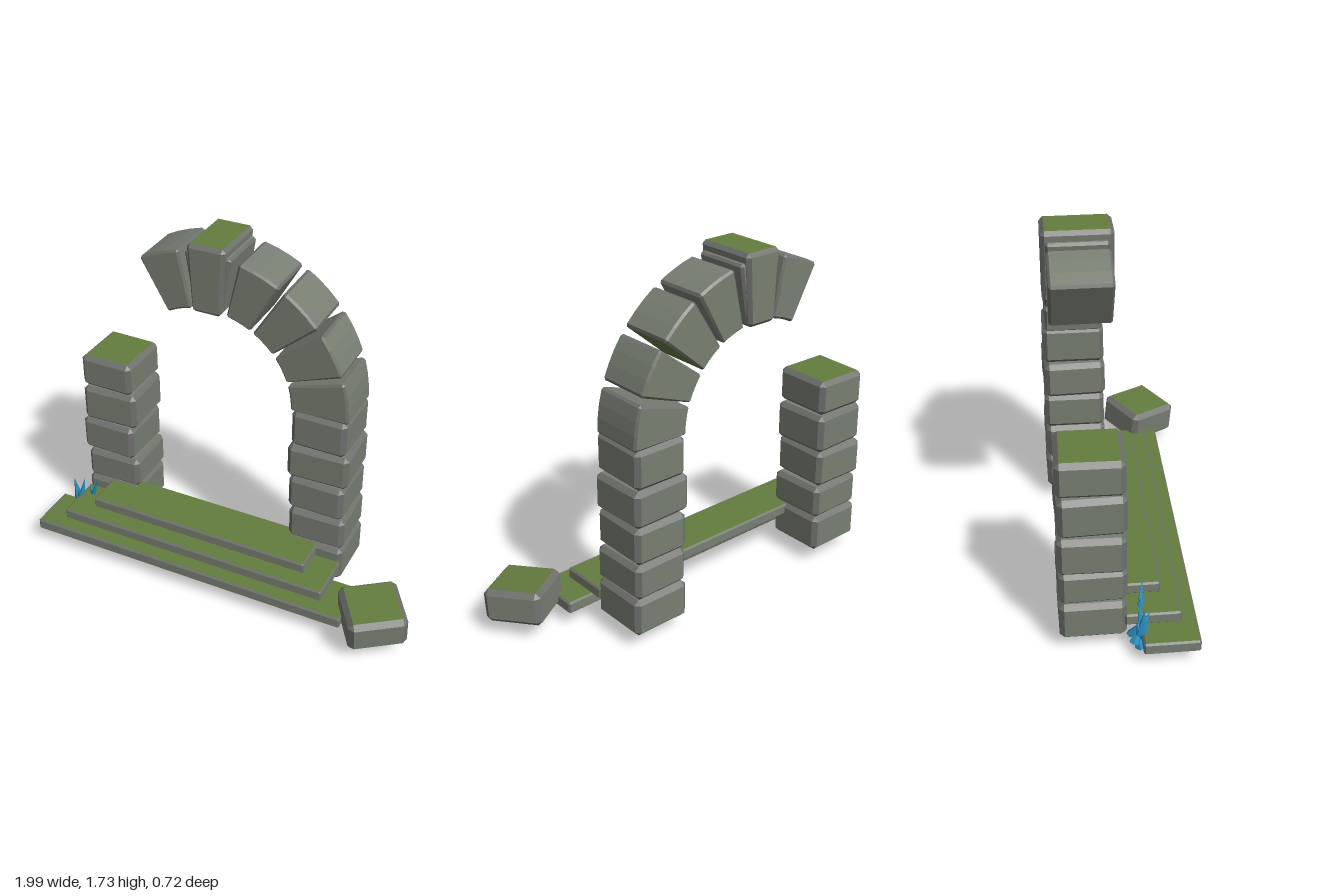
import * as THREE from 'three';

const mat = (name, color, extra = {}) => Object.assign(new THREE.MeshStandardMaterial({ color, ...extra }), { name });

// Chamfered block. Faces listed in mossFaces ('+y', '-x', ...) get the moss colour.
// split subdivides every quad so that warp can bend the block.
function blockGeometry(size, bevel, mossFaces = [], split = 1, warp = null) {
  const half = size.map((s) => s / 2);
  const lists = [[], [], []]; // stone, edge, moss triangles
  // corner point lying on the face of the given axis
  const point = (signs, axis) =>
    new THREE.Vector3(...signs.map((s, i) => s * (half[i] - (i === axis ? 0 : bevel))));
  const triangle = (slot, a, b, c) => {
    const normal = b.clone().sub(a).cross(c.clone().sub(a));
    const outward = normal.dot(a.clone().add(b).add(c)) > 0;
    for (const p of outward ? [a, b, c] : [a, c, b]) {
      const q = warp ? warp(p) : p;
      lists[slot].push(q.x, q.y, q.z);
    }
  };
  const quad = (slot, a, b, c, d) => {
    const at = (u, v) => a.clone().lerp(b, u).lerp(d.clone().lerp(c, u), v);
    for (let i = 0; i < split; i++) {
      for (let j = 0; j < split; j++) {
        const [u, v, U, V] = [i, j, i + 1, j + 1].map((k) => k / split);
        triangle(slot, at(u, v), at(U, v), at(U, V));
        triangle(slot, at(u, v), at(U, V), at(u, V));
      }
    }
  };
  for (let a = 0; a < 3; a++) {
    const b = (a + 1) % 3, c = (a + 2) % 3;
    const signs = (sa, sb, sc) => {
      const s = [];
      s[a] = sa; s[b] = sb; s[c] = sc;
      return s;
    };
    for (const s of [-1, 1]) {
      const slot = mossFaces.includes((s > 0 ? '+' : '-') + 'xyz'[a]) ? 2 : 0;
      quad(slot, ...[[-1, -1], [1, -1], [1, 1], [-1, 1]].map(([p, q]) => point(signs(s, p, q), a)));
      for (const t of [-1, 1]) {
        quad(1, point(signs(-1, s, t), b), point(signs(1, s, t), b),
          point(signs(1, s, t), c), point(signs(-1, s, t), c));
        if (a === 0) {
          for (const r of [-1, 1]) triangle(1, ...[0, 1, 2].map((k) => point([r, s, t], k)));
        }
      }
    }
  }
  const geometry = new THREE.BufferGeometry();
  geometry.setAttribute('position', new THREE.Float32BufferAttribute(lists.flat(), 3));
  let start = 0;
  lists.forEach((list, i) => {
    if (list.length) geometry.addGroup(start, list.length / 3, i);
    start += list.length / 3;
  });
  geometry.computeVertexNormals();
  return geometry;
}

export function createModel() {
  const model = new THREE.Group();
  model.name = 'ruinedArch';
  const stone = mat('stone', 0x787e72);
  const edge = mat('stoneEdge', 0x6e706c);
  const moss = mat('moss', 0x637c3e);
  const crystal = mat('crystal', 0x2a94c6, { flatShading: true });
  const surfaces = [stone, edge, moss];

  const add = (name, geometry, x = 0, y = 0, z = 0) => {
    const mesh = new THREE.Mesh(geometry, surfaces);
    mesh.name = name;
    mesh.position.set(x, y, z);
    model.add(mesh);
    return mesh;
  };
  // block given by its limits
  const span = (name, x0, x1, y0, y1, z0, z1, bevel, mossFaces) =>
    add(name, blockGeometry([x1 - x0, y1 - y0, z1 - z0], bevel, mossFaces),
      (x0 + x1) / 2, (y0 + y1) / 2, (z0 + z1) / 2);

  // Three steps
  span('lowerStep', -1, 0.675, 0.08, 0.14, 0, 0.25, 0.008, ['+y']);
  span('middleStep', -0.875, 0.55, 0.142, 0.2, -0.07, 0.18, 0.008, ['+y']);
  span('upperStep', -0.745, 0.425, 0.205, 0.262, -0.14, 0.1, 0.008, ['+y']);

  // Pillars: x limits, y limits and a small twist for each stone
  const pillars = {
    leftPillarStone: [
      [0.26, 0.555, 0.08, 0.267, 0], [0.268, 0.553, 0.27, 0.442, 0.02], [0.263, 0.545, 0.446, 0.628, -0.015],
      [0.248, 0.553, 0.632, 0.812, 0.03], [0.267, 0.54, 0.815, 1.005, -0.01],
    ],
    rightPillarStone: [
      [-0.875, -0.58, 0.08, 0.267, 0], [-0.868, -0.575, 0.27, 0.435, 0.02], [-0.885, -0.593, 0.44, 0.625, -0.02],
      [-0.872, -0.578, 0.63, 0.822, 0.03], [-0.867, -0.588, 0.828, 1, -0.02],
    ],
  };
  for (const [name, stones] of Object.entries(pillars)) {
    stones.forEach(([x0, x1, y0, y1, twist], i) => {
      const top = name === 'rightPillarStone' && i === 4;
      span(name + (i + 1), x0, x1, y0, y1, -0.355, -0.06, 0.022, top ? ['+y'] : []).rotation.y = twist;
    });
  }

  // Arch stones: bent blocks around the arch centre, by start and end angle
  const inner = 0.418, outer = 0.703, middle = (inner + outer) / 2;
  const archStones = [
    [0, 17.5, []], [20, 37.5, ['-y', '+x']], [40.3, 58, ['-y', '+x']],
    [60.3, 77.5, ['-y']], [80.5, 99.5, ['-y']], [102, 119.7, ['-y']],
  ];
  archStones.forEach(([from, to, mossFaces], i) => {
    const mid = THREE.MathUtils.degToRad((from + to) / 2);
    const width = THREE.MathUtils.degToRad(to - from) * middle;
    const bend = (p) => {
      const angle = mid - p.x / middle, r = middle + p.y;
      return new THREE.Vector3(Math.cos(angle) * r, Math.sin(angle) * r, p.z);
    };
    add('archStone' + (i + 1), blockGeometry([width, outer - inner, 0.27], 0.01, mossFaces, 3, bend), -0.161, 1, -0.207);
  });

  // Keystone: tapered block standing proud of the arch
  const taper = (p) => new THREE.Vector3(p.x * (0.87 + p.y * 0.75), p.y, p.z);
  add('keystone', blockGeometry([0.195, 0.335, 0.31], 0.018, ['+y', '-y'], 1, taper), -0.163, 1.573, -0.207);

  // Fallen block beside the steps
  add('fallenBlock', blockGeometry([0.28, 0.165, 0.28], 0.024, ['+y']), 0.81, 0.163, 0.172)
    .rotation.set(0.09, 0.58, 0);

  // Crystal cluster: base point, tip point, base radius, tip radius
  const shards = [
    [[-0.86, 0.11, -0.005], [-0.872, 0.01, 0], 0.012, 0.027],
    [[-0.86, 0.11, -0.01], [-0.81, 0.05, -0.012], 0.01, 0.022],
    [[-0.87, 0.11, -0.01], [-0.885, 0.05, -0.03], 0.01, 0.024],
    [[-0.86, 0.12, -0.01], [-0.84, 0.06, -0.045], 0.01, 0.018],
    [[-0.91, 0.13, 0], [-0.92, 0.27, 0.01], 0.024, 0.001],
    [[-0.9, 0.12, 0], [-0.87, 0.27, -0.01], 0.022, 0.001],
    [[-0.9, 0.14, 0], [-0.885, 0.22, 0.035], 0.018, 0.001],
    [[-0.9, 0.12, -0.01], [-0.94, 0.21, -0.03], 0.018, 0.001],
    [[-0.87, 0.07, 0], [-0.9, 0.17, 0], 0.018, 0.02],
    [[-0.82, 0.19, 0], [-0.77, 0.31, 0.015], 0.015, 0.001],
    [[-0.82, 0.19, 0], [-0.83, 0.26, 0], 0.012, 0.001],
  ];
  const cluster = new THREE.Group();
  cluster.name = 'crystalCluster';
  shards.forEach(([from, to, r0, r1], i) => {
    const a = new THREE.Vector3(...from), b = new THREE.Vector3(...to);
    const along = b.clone().sub(a);
    const shard = new THREE.Mesh(new THREE.CylinderGeometry(r1, r0, along.length(), 5), crystal);
    shard.name = 'crystal' + (i + 1);
    shard.position.copy(a).lerp(b, 0.5);
    shard.quaternion.setFromUnitVectors(new THREE.Vector3(0, 1, 0), along.normalize());
    cluster.add(shard);
  });
  model.add(cluster);
  return model;
}
